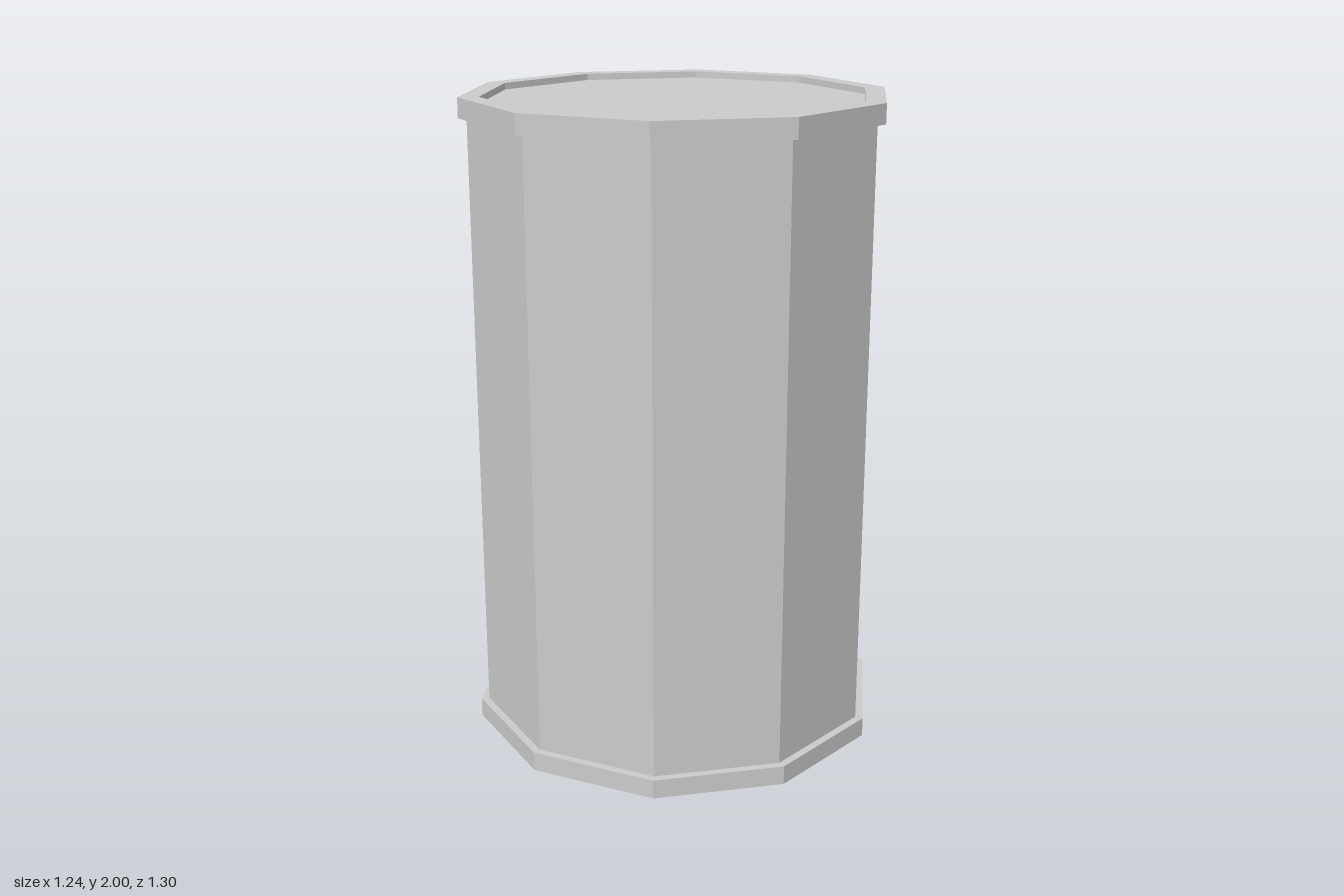
import * as THREE from 'three';

const SIDES = 10;

export function createModel() {
  const group = new THREE.Group();
  const material = new THREE.MeshStandardMaterial({ color: 0xcccccc, flatShading: true });

  // Ten-sided turned part; profile given as [radius, height] from bottom to top
  const addTurned = (name, profile) => {
    const points = profile.map(([r, y]) => new THREE.Vector2(r, y));
    const mesh = new THREE.Mesh(new THREE.LatheGeometry(points, SIDES), material);
    mesh.name = name;
    group.add(mesh);
  };

  // Flat base rim
  addTurned('baseRim', [[0, 0], [0.65, 0], [0.65, 0.06], [0, 0.06]]);

  // Drum wall between the rims
  addTurned('body', [[0.625, 0.06], [0.625, 1.94]]);

  // Top rim with a shallow recessed lid
  addTurned('topRim', [[0, 1.94], [0.65, 1.94], [0.65, 2], [0.587, 2], [0.587, 1.98], [0, 1.98]]);

  return group;
}
